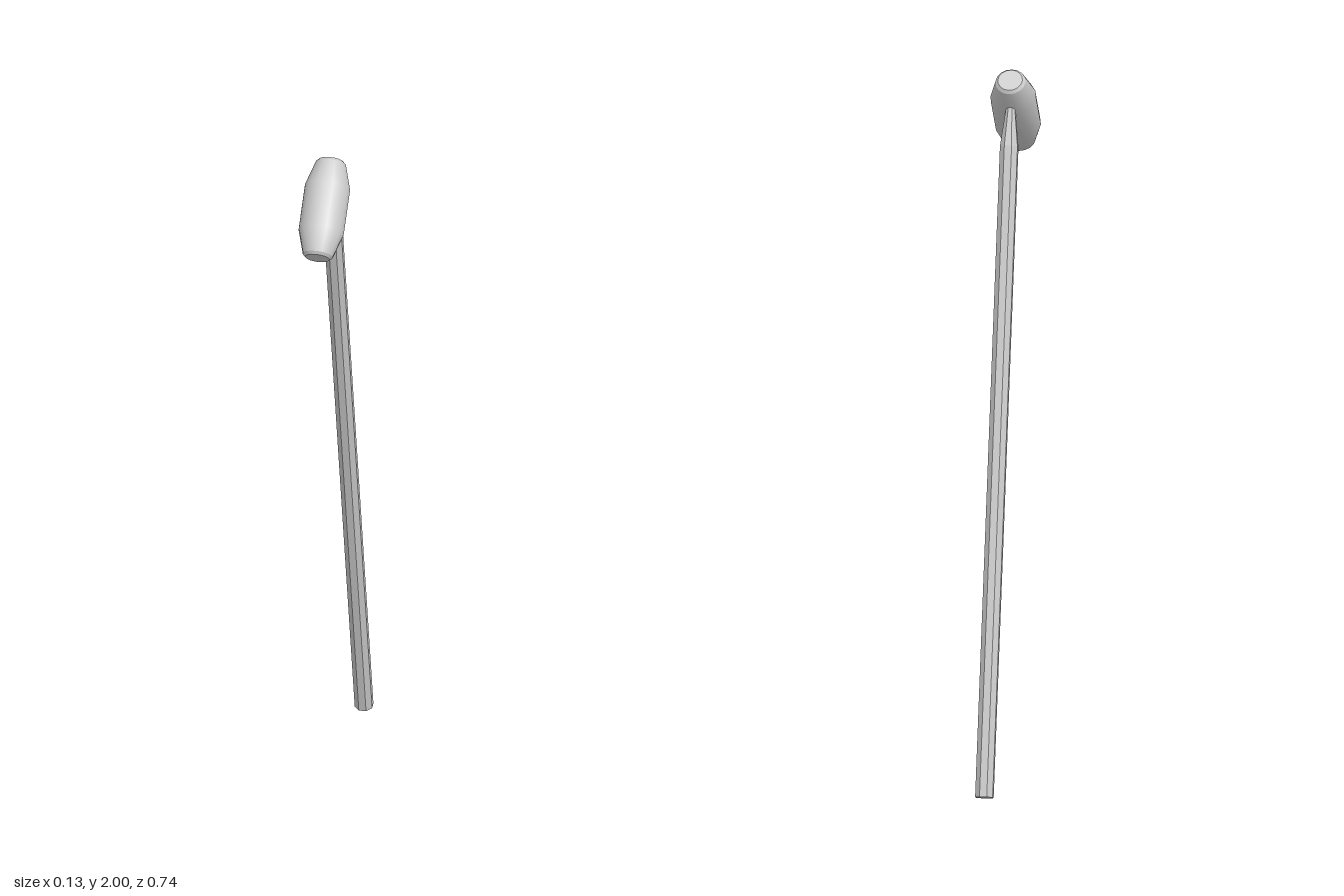
import * as THREE from 'three';

const material = new THREE.MeshStandardMaterial({ color: 0xcccccc });
const facetedMaterial = new THREE.MeshStandardMaterial({ color: 0xcccccc, flatShading: true });

function addMesh(parent, name, geometry, mat, y = 0) {
  const mesh = new THREE.Mesh(geometry, mat);
  mesh.name = name;
  mesh.position.y = y;
  parent.add(mesh);
  return mesh;
}

const lathe = (profile) =>
  new THREE.LatheGeometry(profile.map(([r, y]) => new THREE.Vector2(r, y)), 16);

export function createModel() {
  const model = new THREE.Group();
  model.name = 'mallet';

  // Leaning octagonal handle with a narrowing neck that ends inside the head
  const handle = new THREE.Group();
  handle.name = 'handle';
  handle.position.set(0, 0.007, -0.346);
  handle.rotation.x = THREE.MathUtils.degToRad(14.7);
  model.add(handle);
  const R = 0.027, shaftLength = 1.843, neckLength = 0.135;
  const octagon = (top, bottom, length, open) =>
    new THREE.CylinderGeometry(top, bottom, length, 8, 1, open, Math.PI / 8);
  const shaft = octagon(R, R, shaftLength, false);
  addMesh(handle, 'shaft', shaft, facetedMaterial, shaftLength / 2);
  const neck = octagon(0.01, R, neckLength, false);
  addMesh(handle, 'neck', neck, facetedMaterial, shaftLength + neckLength / 2);

  // Barrel-shaped head, tilted 45 degrees
  const head = new THREE.Group();
  head.name = 'head';
  head.position.set(0, 1.8735, 0.2415);
  head.rotation.x = -Math.PI / 4;
  model.add(head);
  const half = 0.145, rim = 0.137;
  addMesh(head, 'barrel', lathe([
    [0.043, -rim], [0.065, -0.066], [0.065, 0.064], [0.043, rim],
  ]), material);

  // Bevelled rim and flat striking face at each end
  for (const side of [1, -1]) {
    const end = new THREE.Group();
    end.name = side > 0 ? 'rearEnd' : 'frontEnd';
    if (side < 0) end.rotation.x = Math.PI;
    head.add(end);
    addMesh(end, 'bevel', lathe([[0.043, rim], [0.035, half]]), material);
    const face = addMesh(end, 'strikingFace', new THREE.CircleGeometry(0.035, 16), material, half);
    face.rotation.x = -Math.PI / 2;
  }
  return model;
}
